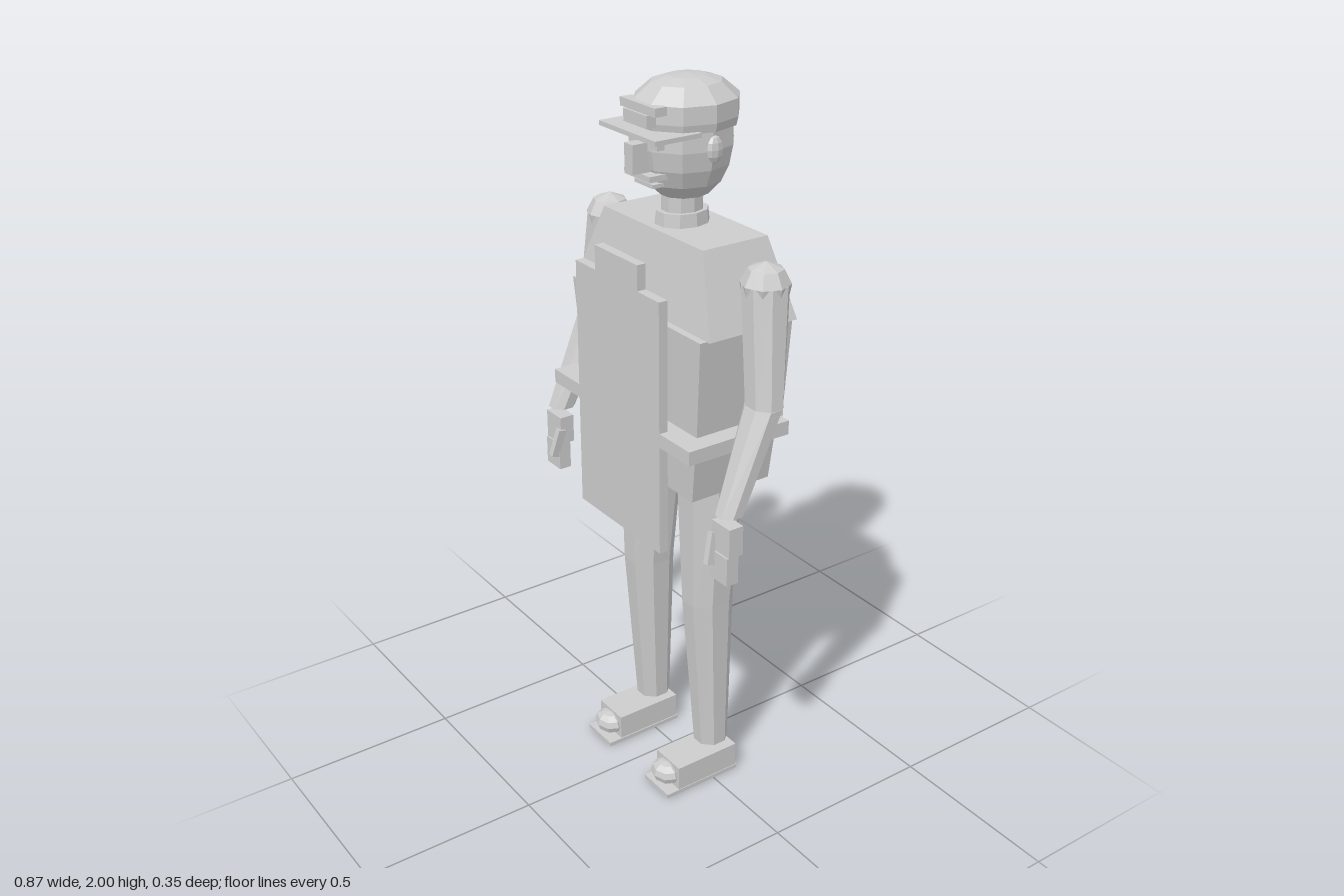
import * as THREE from 'three';

const grey = new THREE.MeshStandardMaterial({ color: 0xcccccc });
grey.name = 'plain grey';

export function createModel() {
  const root = new THREE.Group();
  root.name = 'figure';

  const add = (parent, name, geometry) => {
    // Unshared vertices give every facet its own normal
    const g = geometry.index ? geometry.toNonIndexed() : geometry;
    g.computeVertexNormals();
    const mesh = new THREE.Mesh(g, grey);
    mesh.name = name;
    parent.add(mesh);
    return mesh;
  };

  // Box given by its limits on each axis
  const box = (parent, name, [x0, x1], [y0, y1], [z0, z1]) => {
    const g = new THREE.BoxGeometry(x1 - x0, y1 - y0, z1 - z0);
    g.translate((x0 + x1) / 2, (y0 + y1) / 2, (z0 + z1) / 2);
    return add(parent, name, g);
  };

  // Block whose top and bottom rectangles differ: [half width, z back, z front]
  const taper = (parent, name, y0, bottom, y1, top) => {
    const g = new THREE.BoxGeometry(2, 1, 2);
    const p = g.attributes.position;
    for (let i = 0; i < p.count; i++) {
      const up = p.getY(i) > 0;
      const [w, back, front] = up ? top : bottom;
      p.setXYZ(i, p.getX(i) * w, up ? y1 : y0, p.getZ(i) > 0 ? front : back);
    }
    return add(parent, name, g);
  };

  // Limb with level rings: each ring is [x, y, z, radius x, radius z]
  const limb = (parent, name, a, b, sides = 8) => {
    const g = new THREE.CylinderGeometry(1, 1, 1, sides);
    g.rotateY(Math.PI / 8);
    const p = g.attributes.position;
    for (let i = 0; i < p.count; i++) {
      const [x, y, z, rx, rz] = p.getY(i) > 0 ? a : b;
      p.setXYZ(i, x + p.getX(i) * rx, y, z + p.getZ(i) * rz);
    }
    return add(parent, name, g);
  };

  // Ten-sided turned form around the head axis
  const turned = (parent, name, profile, z, depth = 1) => {
    const g = new THREE.LatheGeometry(profile.map(([r, y]) => new THREE.Vector2(r, y)), 10);
    g.rotateY(Math.PI / 2);
    g.scale(1, 1, depth);
    g.translate(0, 0, z);
    return add(parent, name, g);
  };

  const ball = (parent, name, [x, y, z], [rx, ry, rz]) => {
    const g = new THREE.SphereGeometry(1, 8, 6);
    g.scale(rx, ry, rz);
    g.translate(x, y, z);
    return add(parent, name, g);
  };

  // Torso
  taper(root, 'chest', 1.42, [0.30, -0.17, 0.103], 1.625, [0.217, -0.135, 0.065]);
  taper(root, 'waist', 1.115, [0.258, -0.165, 0.11], 1.42, [0.288, -0.165, 0.123]);
  taper(root, 'hips', 0.95, [0.228, -0.15, 0.10], 1.115, [0.255, -0.15, 0.11]);
  box(root, 'belt', [-0.315, 0.315], [1.113, 1.152], [-0.143, 0.174]);

  // Stepped front panel with buttons behind it
  const panel = new THREE.Shape();
  [[-0.188, 0.803], [0.188, 0.803], [0.188, 1.507], [0.095, 1.507],
    [0.095, 1.575], [-0.095, 1.575], [-0.095, 1.507], [-0.188, 1.507]]
    .forEach(([x, y], i) => (i ? panel.lineTo(x, y) : panel.moveTo(x, y)));
  const panelGeometry = new THREE.ExtrudeGeometry(panel, { depth: 0.026, bevelEnabled: false });
  panelGeometry.translate(0, 0, 0.149);
  add(root, 'frontPanel', panelGeometry);
  for (const y of [1.17, 1.285, 1.4, 1.51]) {
    box(root, 'button', [-0.01, 0.01], [y - 0.01, y + 0.01], [0.129, 0.14]);
  }

  // Head and neck
  const head = new THREE.Group();
  head.name = 'head';
  root.add(head);
  turned(head, 'collar', [[0, 1.62], [0.066, 1.62], [0.062, 1.66], [0, 1.66]], -0.03, 1.15);
  turned(head, 'neck', [[0.052, 1.65], [0.052, 1.73]], -0.03, 1.1);
  turned(head, 'skull', [[0, 1.695], [0.06, 1.7], [0.092, 1.735], [0.112, 1.78],
    [0.121, 1.83], [0.119, 1.89], [0, 1.93]], -0.037, 1.09);
  turned(head, 'cap', [[0, 1.875], [0.122, 1.878], [0.127, 1.9], [0.126, 1.945],
    [0.085, 1.983], [0.045, 1.996], [0, 2]], -0.042, 1.12);
  box(head, 'visor', [-0.122, 0.122], [1.871, 1.883], [0, 0.137]);
  box(head, 'capBadge', [-0.075, 0.075], [1.925, 1.947], [0.07, 0.105]);
  box(head, 'capBadgeCentre', [-0.05, 0.05], [1.893, 1.925], [0.07, 0.112]);
  box(head, 'nose', [-0.018, 0.018], [1.775, 1.85], [0.07, 0.132]);
  box(head, 'moustache', [-0.055, 0.055], [1.76, 1.775], [0.05, 0.108]);
  box(head, 'mouth', [-0.04, 0.04], [1.738, 1.748], [0.04, 0.088]);

  for (const s of [-1, 1]) {
    const side = s > 0 ? 'left' : 'right';
    const span = (a, b) => (s > 0 ? [a, b] : [-b, -a]);

    box(head, side + 'Eye', span(0.03, 0.062), [1.838, 1.856], [0.05, 0.09]);
    ball(head, side + 'Ear', [s * 0.122, 1.836, -0.04], [0.014, 0.035, 0.024]);

    // Arm
    const arm = new THREE.Group();
    arm.name = side + 'Arm';
    root.add(arm);
    const shoulder = new THREE.LatheGeometry([[0.058, 1.53], [0.064, 1.56], [0.045, 1.597],
      [0, 1.615]].map(([r, y]) => new THREE.Vector2(r, y)), 8);
    shoulder.translate(s * 0.34, 0, -0.033);
    add(arm, 'shoulder', shoulder);
    limb(arm, 'upperArm', [s * 0.34, 1.56, -0.033, 0.062, 0.062], [s * 0.382, 1.245, -0.005, 0.056, 0.046]);
    limb(arm, 'forearm', [s * 0.382, 1.26, -0.003, 0.056, 0.046], [s * 0.395, 0.995, 0.107, 0.037, 0.038]);
    box(arm, 'palm', span(0.36, 0.433), [0.89, 0.972], [0.092, 0.135]);
    box(arm, 'fingers', span(0.362, 0.431), [0.81, 0.89], [0.104, 0.14]);
    const thumb = add(arm, 'thumb', new THREE.BoxGeometry(0.018, 0.085, 0.024));
    thumb.position.set(s * 0.368, 0.895, 0.142);
    thumb.rotation.set(-0.25, 0, s * 0.12);

    // Leg
    const leg = new THREE.Group();
    leg.name = side + 'Leg';
    root.add(leg);
    const knee = [s * 0.142, 0.58, -0.018, 0.066, 0.074];
    limb(leg, 'thigh', [s * 0.136, 0.96, -0.028, 0.093, 0.092], knee);
    limb(leg, 'shin', knee, [s * 0.145, 0.1, -0.032, 0.047, 0.05]);

    // Shoe
    box(leg, 'shoe', span(0.093, 0.203), [0.012, 0.085], [-0.08, 0.122]);
    box(leg, 'sole', span(0.09, 0.205), [0, 0.012], [-0.082, 0.163]);
    ball(leg, 'toeCap', [s * 0.147, 0.047, 0.128], [0.05, 0.034, 0.04]);
  }
  return root;
}
